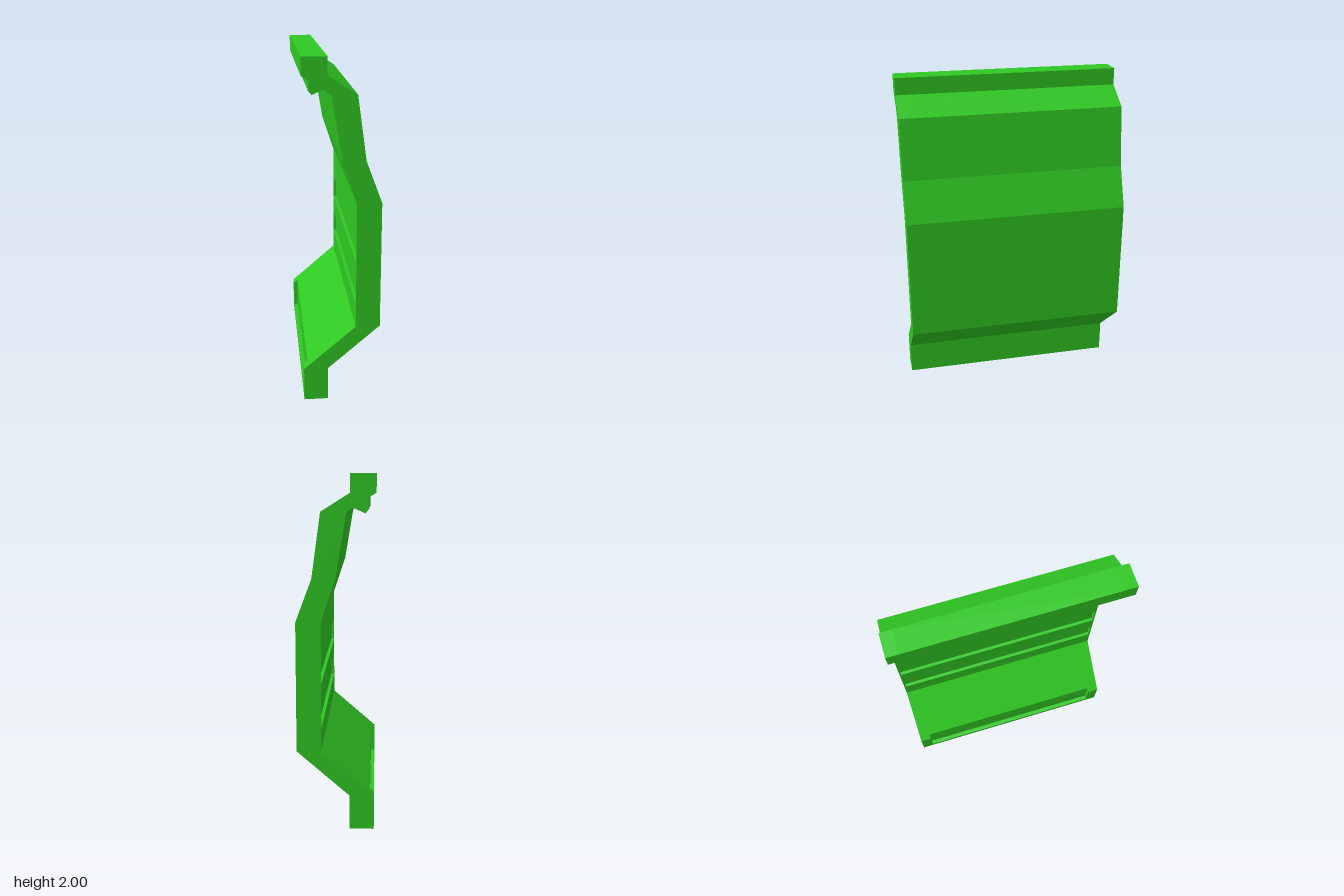
import * as THREE from 'three';

const material = new THREE.MeshStandardMaterial({ color: 0x2fc822, flatShading: true });

// Panel cross-section, counter-clockwise; g = wall groove depth, n = foot notch depth
function section(g, n) {
  return [
    [-0.22, 0], [-0.08, 0], [-0.08, 0.2], [0.22, 0.46], [0.22, 1.2], [0.13, 1.44],
    [0.08, 1.8], [-0.08, 1.9], [-0.08, 2], [-0.22, 2], [-0.22, 1.9], [-0.06, 1.8],
    [0, 1.44], [0.08, 1.2],
    // two long grooves in the inner wall
    [0.08, 1.0], [0.08 + g, 1.0], [0.08 + g, 0.85], [0.08, 0.85],
    [0.08, 0.735], [0.08 + g, 0.735], [0.08 + g, 0.59], [0.08, 0.59],
    [0.08, 0.46],
    // notch in the foot, open towards the slope
    [-0.22 + n, 0.2 + n * 0.26 / 0.3], [-0.22 + n, 0.03], [-0.22, 0.03],
  ];
}

// Skin between sections along z, capped at both ends
function loft(stations) {
  const pos = [];
  const tri = (...pts) => {
    const [a, b, c] = pts.map((p) => new THREE.Vector3(...p));
    if (b.clone().sub(a).cross(c.clone().sub(a)).length() > 1e-7) pos.push(...pts.flat());
  };
  const rings = stations.map(([z, pts]) => pts.map(([x, y]) => [x, y, z]));
  for (let s = 0; s < rings.length - 1; s++) {
    const a = rings[s], b = rings[s + 1];
    for (let i = 0; i < a.length; i++) {
      const j = (i + 1) % a.length;
      tri(a[i], a[j], b[j]);
      tri(a[i], b[j], b[i]);
    }
  }
  const back = rings[0], front = rings[rings.length - 1];
  const outline = back.map(([x, y]) => new THREE.Vector2(x, y));
  for (const [i, j, k] of THREE.ShapeUtils.triangulateShape(outline, [])) {
    tri(front[i], front[j], front[k]);
    tri(back[k], back[j], back[i]);
  }
  const geometry = new THREE.BufferGeometry();
  geometry.setAttribute('position', new THREE.Float32BufferAttribute(pos, 3));
  geometry.computeVertexNormals();
  return geometry;
}

export function createModel() {
  const group = new THREE.Group();
  group.name = 'bentPanel';

  // Bent panel with recesses stopping short of its ends
  const plain = section(0, 0), grooved = section(0.02, 0), full = section(0.02, 0.025);
  const panel = new THREE.Mesh(loft([
    [-0.67, plain], [-0.66, plain], [-0.66, grooved], [-0.6, grooved], [-0.6, full],
    [0.6, full], [0.6, grooved], [0.66, grooved], [0.66, plain], [0.67, plain],
  ]), material);
  panel.name = 'panel';
  group.add(panel);

  // Catch rail under the upper slope
  const rail = [[-0.178, 1.874], [-0.178, 1.81], [-0.16, 1.79], [-0.087, 1.822], [-0.087, 1.817]];
  const catchRail = new THREE.Mesh(loft([[-0.6, rail], [0.6, rail]]), material);
  catchRail.name = 'catchRail';
  group.add(catchRail);

  return group;
}
